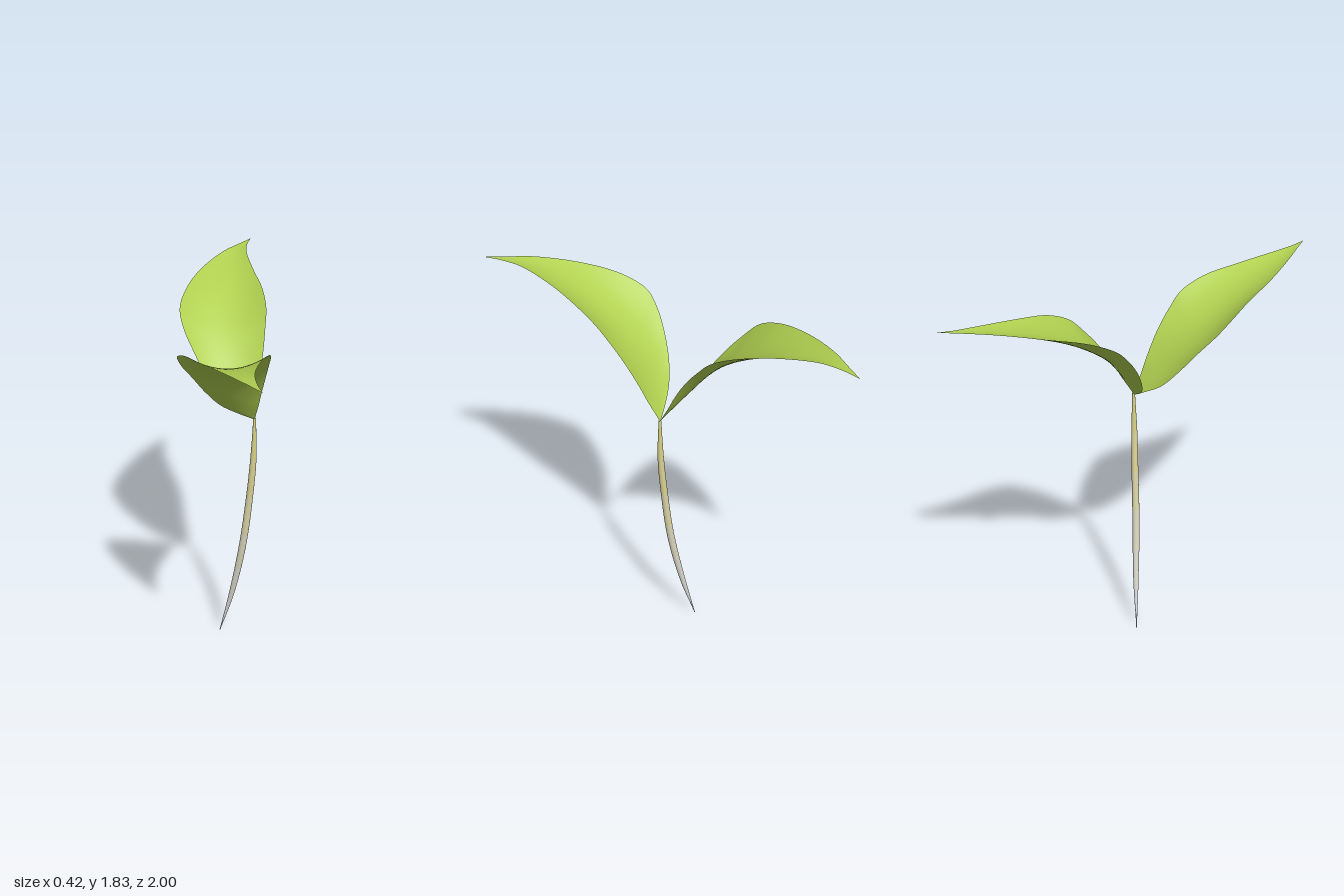
import * as THREE from 'three';

const V = (x, y, z) => new THREE.Vector3(x, y, z);

// Leaf cross-sections from base to tip: z, left x, right x, edge height, midrib height
const SECTIONS = [
  [0.00, 0.14, 0.147, 1.255, 1.255],
  [0.02, 0.075, 0.152, 1.29, 1.285],
  [0.055, -0.015, 0.162, 1.35, 1.335],
  [0.10, -0.085, 0.174, 1.435, 1.395],
  [0.17, -0.15, 0.19, 1.545, 1.485],
  [0.24, -0.195, 0.20, 1.63, 1.558],
  [0.31, -0.212, 0.206, 1.70, 1.615],
  [0.43, -0.182, 0.19, 1.758, 1.69],
  [0.60, -0.115, 0.15, 1.797, 1.765],
  [0.80, 0.0, 0.12, 1.825, 1.815],
  [0.92, 0.088, 0.128, 1.829, 1.828],
  [1.00, 0.146, 0.147, 1.83, 1.83],
];

// A cupped leaf lofted across its two edges and sunken midrib
function leafGeometry(side) {
  const curve = (f) => new THREE.CatmullRomCurve3(SECTIONS.map(f));
  const left = curve(([z, l, , e]) => V(l, e, z));
  const right = curve(([z, , r, e]) => V(r, e, z));
  const mid = curve(([z, l, r, , m]) => V((l + r) / 2, m, z));
  const rows = 66, cols = 16, pos = [], index = [];
  for (let i = 0; i <= rows; i++) {
    const a = left.getPoint(i / rows), b = right.getPoint(i / rows), m = mid.getPoint(i / rows);
    for (let j = 0; j <= cols; j++) {
      const u = (j / cols) * 2 - 1;
      const p = V(0, 0, 0)
        .addScaledVector(a, (u * (u - 1)) / 2)
        .addScaledVector(m, 1 - u * u)
        .addScaledVector(b, (u * (u + 1)) / 2);
      pos.push(p.x, p.y, p.z * side);
      if (i < rows && j < cols) {
        const k = i * (cols + 1) + j, n = k + cols + 1;
        if (side > 0) index.push(k, n, k + 1, k + 1, n, n + 1);
        else index.push(k, k + 1, n, k + 1, n + 1, n);
      }
    }
  }
  const g = new THREE.BufferGeometry();
  g.setAttribute('position', new THREE.Float32BufferAttribute(pos, 3));
  g.setIndex(index);
  g.computeVertexNormals();
  return g;
}

// Curved stem, swollen in the middle and pointed at the foot
function stemGeometry(bands) {
  const path = new THREE.CatmullRomCurve3([
    V(-0.021, 0, -0.096), V(0.04, 0.25, -0.06), V(0.093, 0.55, -0.024),
    V(0.125, 0.83, -0.008), V(0.142, 1.05, 0), V(0.146, 1.262, 0),
  ]);
  const radius = new THREE.SplineCurve([0.002, 0.012, 0.017, 0.018, 0.017, 0.015, 0.007]
    .map((r, i) => new THREE.Vector2(i, r)));
  const segments = bands * 8, sides = 16;
  const g = new THREE.TubeGeometry(path, segments, 1, sides);
  const p = g.attributes.position, v = V(0, 0, 0);
  for (let i = 0; i < p.count; i++) {
    const t = Math.floor(i / (sides + 1)) / segments;
    const c = path.getPointAt(t);
    v.fromBufferAttribute(p, i).sub(c).multiplyScalar(radius.getPoint(t).y).add(c);
    p.setXYZ(i, v.x, v.y, v.z);
  }
  const size = 8 * sides * 6;
  for (let b = 0; b < bands; b++) g.addGroup(b * size, size, b);
  return g;
}

export function createModel() {
  const group = new THREE.Group();
  group.name = 'seedling';

  const leafGreen = new THREE.MeshStandardMaterial({ color: 0xb0d050, side: THREE.DoubleSide });
  leafGreen.name = 'leaf green';

  // Stem colours from the pale foot up to the yellow neck
  const stemColours = [
    ['pale grey', 0xd6d5d6], ['warm grey', 0xd8d6cb], ['ivory', 0xdad6bb],
    ['cream', 0xdcd6a8], ['straw', 0xddd596], ['soft yellow', 0xdcd488],
  ].map(([name, color]) => {
    const m = new THREE.MeshStandardMaterial({ color });
    m.name = name;
    return m;
  });

  const stem = new THREE.Mesh(stemGeometry(stemColours.length), stemColours);
  stem.name = 'stem';
  group.add(stem);

  // Mirrored pair of leaves
  for (const [name, side] of [['frontLeaf', 1], ['backLeaf', -1]]) {
    const leaf = new THREE.Mesh(leafGeometry(side), leafGreen);
    leaf.name = name;
    group.add(leaf);
  }
  return group;
}
